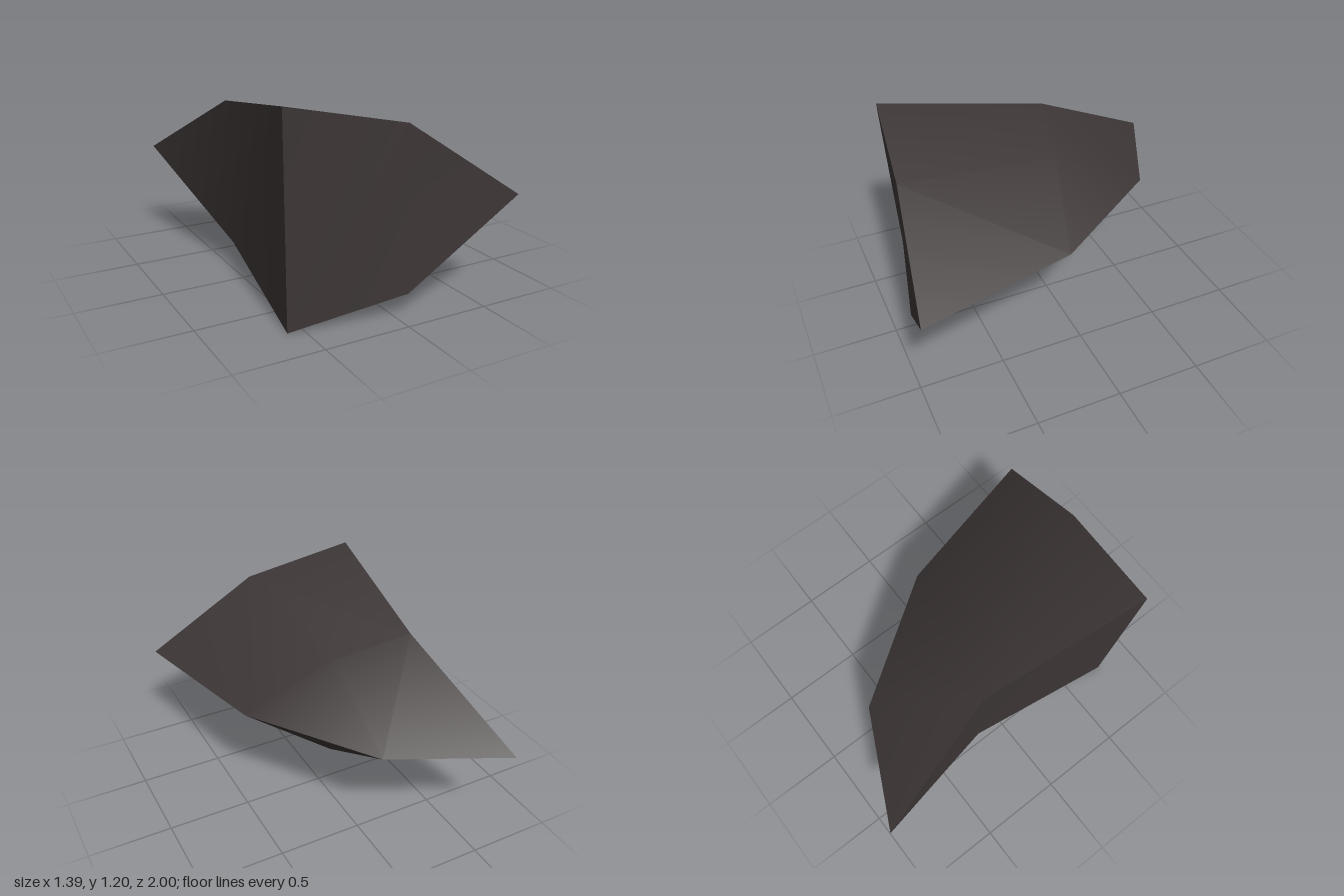
import * as THREE from 'three';

// Corners of the shard: front outline, inner rim, side bulges, outer ridge and tip
const corners = {
  A: [-0.63, 1.2, 0.81],     // front, inner top
  B: [0.04, 1.065, 0.89],    // front, middle top
  C: [0.695, 0.62, 1.0],     // front, outer point
  D: [0.055, 0.14, 0.91],    // front, middle bottom
  E: [-0.59, 0, 0.76],       // front, inner bottom
  R: [-0.5, 1.04, -0.2],     // inner rim, top
  S: [-0.48, 0.155, -0.19],  // inner rim, bottom
  V: [-0.05, 0.926, -0.087], // bulge of the upper face
  W: [-0.04, 0.28, -0.08],   // bulge of the lower face
  Q: [0.46, 0.617, 0.055],   // outer ridge
  P: [-0.04, 0.613, -0.675], // outer ridge, near the tip
  T: [-0.7, 0.61, -1.0],     // rear tip
};

// Each side is smooth within itself and meets its neighbours at a sharp edge
const sides = {
  frontFace: 'AEB EDB DCB',
  upperFace: 'ABR BVR BQV BCQ VQP VPR RPT',
  lowerFace: 'ESD DSW DWQ DQC WPQ WSP STP',
  innerFace: 'ARS ASE RTS',
};

function makeSide(triangles) {
  const letters = [...triangles.replaceAll(' ', '')];
  const names = [...new Set(letters)];
  const geometry = new THREE.BufferGeometry();
  geometry.setAttribute('position',
    new THREE.Float32BufferAttribute(names.flatMap((n) => corners[n]), 3));
  geometry.setIndex(letters.map((n) => names.indexOf(n)));
  geometry.computeVertexNormals();
  return geometry;
}

export function createModel() {
  const group = new THREE.Group();
  group.name = 'rockShard';
  const stone = new THREE.MeshStandardMaterial({ color: 0x3c3535 });
  stone.name = 'darkStone';

  for (const [name, triangles] of Object.entries(sides)) {
    const mesh = new THREE.Mesh(makeSide(triangles), stone);
    mesh.name = name;
    group.add(mesh);
  }
  return group;
}
